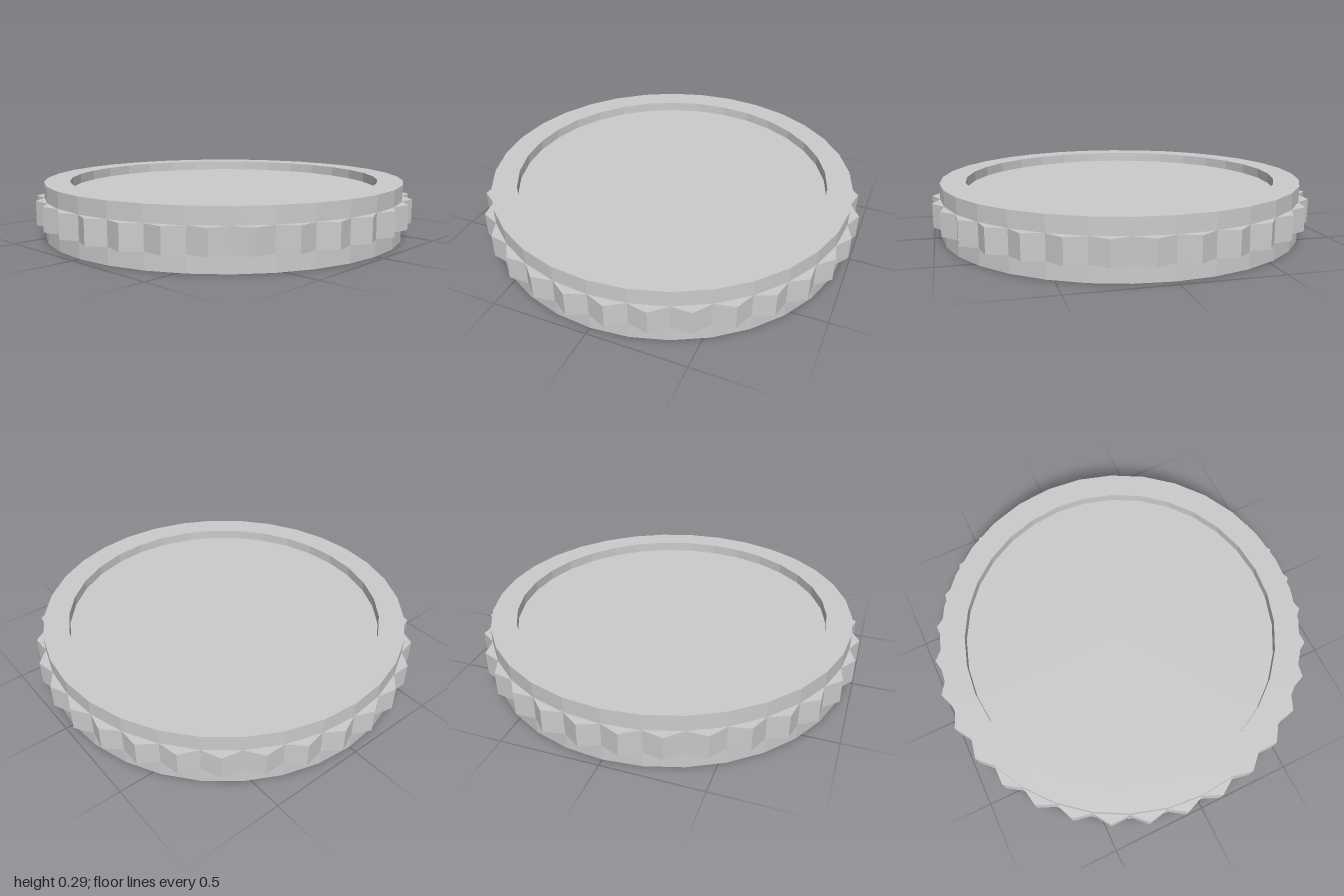
import * as THREE from 'three';

const SIDES = 32;
const HEIGHT = 0.29, RECESS = 0.052;
const OUTER = 0.96, INNER = 0.828, TIP = 1 / Math.cos(Math.PI / SIDES);
const TOOTH_BOTTOM = 0.083, TOOTH_TOP = 0.207;

// Regular outline; odd points use the second radius
function outline(count, evenRadius, oddRadius) {
  return Array.from({ length: count }, (_, i) => {
    const a = (i / count) * Math.PI * 2;
    const r = i % 2 ? oddRadius : evenRadius;
    return new THREE.Vector2(r * Math.cos(a), r * Math.sin(a));
  });
}

export function createModel() {
  const group = new THREE.Group();
  group.name = 'toothedDisc';
  const material = new THREE.MeshStandardMaterial({ color: 0xcccccc, flatShading: true });

  // Disc with a raised rim and a shallow recess on both faces
  const profile = [
    [0, RECESS], [INNER, RECESS], [INNER, 0], [OUTER, 0],
    [OUTER, HEIGHT], [INNER, HEIGHT], [INNER, HEIGHT - RECESS], [0, HEIGHT - RECESS],
  ].map(([x, y]) => new THREE.Vector2(x, y));
  const disc = new THREE.Mesh(new THREE.LatheGeometry(profile, SIDES), material);
  disc.name = 'rimmedDisc';
  group.add(disc);

  // Band of pointed teeth: valleys on the disc corners, tips midway between
  const star = new THREE.Shape(outline(SIDES * 2, OUTER, TIP));
  star.holes.push(new THREE.Path(outline(SIDES, 0.9, 0.9)));
  const band = new THREE.ExtrudeGeometry(star, { depth: TOOTH_TOP - TOOTH_BOTTOM, bevelEnabled: false });
  band.rotateX(-Math.PI / 2);
  band.translate(0, TOOTH_BOTTOM, 0);
  const teeth = new THREE.Mesh(band, material);
  teeth.name = 'toothBand';
  group.add(teeth);

  return group;
}
